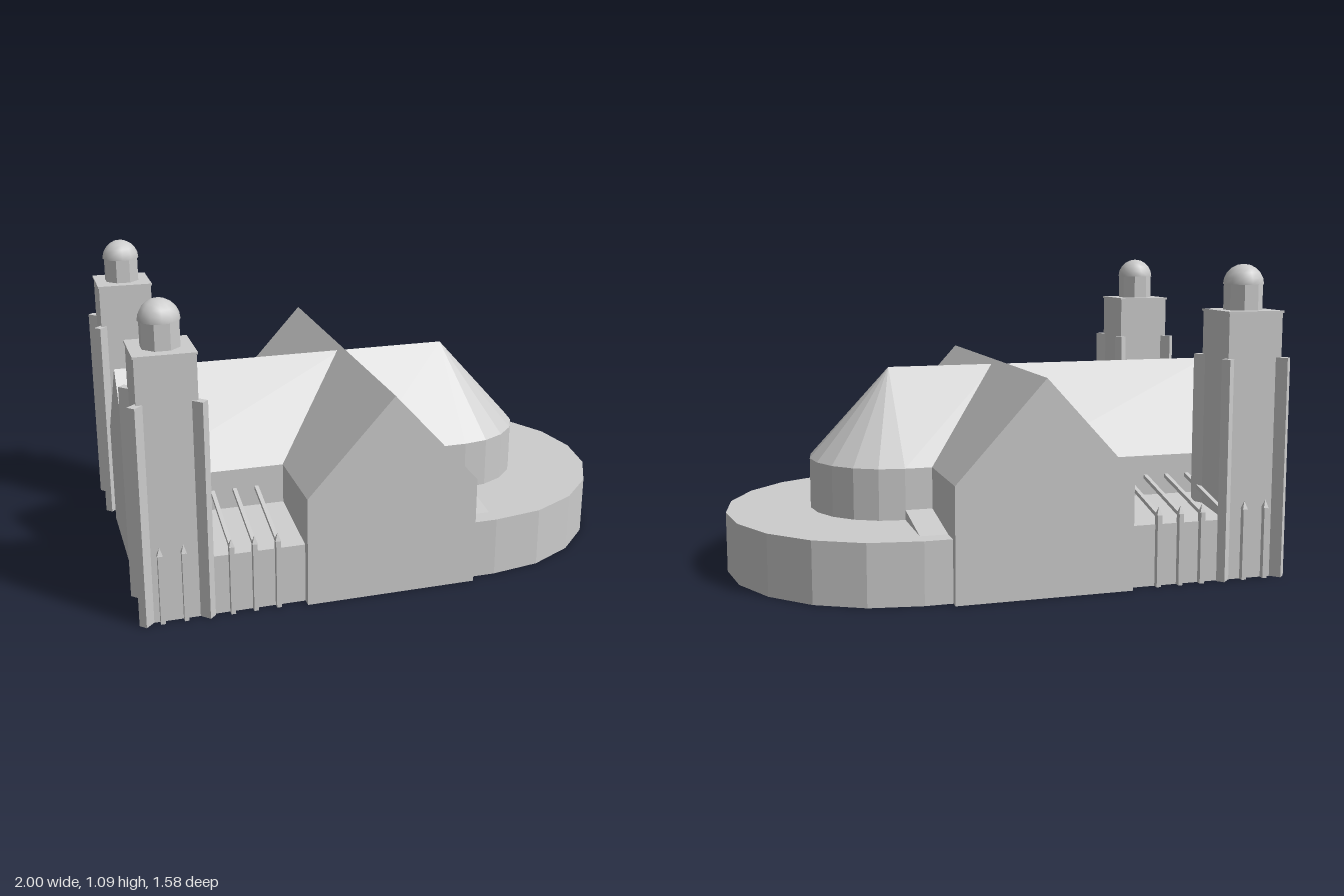
import * as THREE from 'three';

const stone = new THREE.MeshStandardMaterial({ color: 0xcccccc, side: THREE.DoubleSide });
stone.name = 'pale stone';

// Faceted surface through rows of points, each row of equal length
function skin(rows) {
  const pos = [];
  for (let i = 0; i < rows.length - 1; i++) {
    for (let j = 0; j < rows[i].length - 1; j++) {
      const a = rows[i][j], b = rows[i][j + 1], c = rows[i + 1][j + 1], d = rows[i + 1][j];
      pos.push(...a, ...b, ...c, ...a, ...c, ...d);
    }
  }
  const g = new THREE.BufferGeometry();
  g.setAttribute('position', new THREE.Float32BufferAttribute(pos, 3));
  g.computeVertexNormals();
  return g;
}

function add(parent, name, geometry, x = 0, y = 0, z = 0) {
  const m = new THREE.Mesh(geometry, stone);
  m.name = name;
  m.position.set(x, y, z);
  parent.add(m);
  return m;
}

const box = (w, h, d) => new THREE.BoxGeometry(w, h, d);

// Gabled hall along x, open underneath
function hall(x0, x1, half, eaves, ridge, closeEnd) {
  const profile = x => [[x, 0, half], [x, eaves, half], [x, ridge, 0], [x, eaves, -half], [x, 0, -half]];
  const foot = x => profile(x).map(() => [x, 0, 0]);
  const rows = [foot(x0), profile(x0), profile(x1)];
  if (closeEnd) rows.push(foot(x1));
  return skin(rows);
}

const APSE_X = 0.448, TRANSEPT_X = 0.045, HALF = 0.29, AISLE = 0.587;

// Straight sides ending in a half circle of ten facets
function apsePlan(startX, r, y) {
  const pts = [[startX, y, r]];
  for (let i = 0; i <= 10; i++) {
    const a = Math.PI / 2 - i * Math.PI / 10;
    pts.push([APSE_X + r * Math.cos(a), y, r * Math.sin(a)]);
  }
  pts.push([startX, y, -r]);
  return pts;
}

function makeTower() {
  const tower = new THREE.Group();
  tower.name = 'tower';
  add(tower, 'towerShaft', box(0.2, 0.925, 0.2), 0, 0.4625, 0);
  add(tower, 'towerCap', box(0.208, 0.008, 0.208), 0, 0.928, 0);
  // Diagonal corner buttresses
  for (const sx of [-1, 1]) for (const sz of [-1, 1]) {
    const b = add(tower, 'cornerButtress', box(0.05, 0.772, 0.03), sx * 0.101, 0.386, sz * 0.101);
    b.rotation.y = -sx * sz * Math.PI / 4;
  }
  // Octagonal lantern and dome
  const drum = new THREE.CylinderGeometry(0.067, 0.067, 0.095, 8).toNonIndexed();
  drum.computeVertexNormals();
  const lantern = add(tower, 'lantern', drum, 0, 0.975, 0);
  lantern.rotation.y = Math.PI / 8;
  add(tower, 'dome', new THREE.SphereGeometry(0.07, 12, 5, 0, Math.PI * 2, 0, Math.PI / 2), 0, 1.02, 0);
  return tower;
}

// One side of the nave: aisle, flying buttresses, tower
function makeSide() {
  const side = new THREE.Group();
  side.name = 'naveSide';
  const section = x => [[x, 0, AISLE], [x, 0.215, AISLE], [x, 0.25, HALF], [x, 0, HALF]];
  const foot = x => section(x).map(() => [x, 0, HALF]);
  add(side, 'aisle', skin([foot(-0.77), section(-0.77), section(-0.263)]));
  // Small sloping roof between transept and ambulatory
  const wedge = x => [[x, 0.214, 0.53], [x, 0.25, HALF], [x, 0.2, HALF]];
  const wedgeFoot = x => wedge(x).map(() => [x, 0.2, HALF]);
  add(side, 'choirAisleRoof', skin([wedge(0.353), wedge(APSE_X), wedgeFoot(APSE_X)]));

  for (let k = 0; k < 6; k++) {
    const x = -0.362 - k * 0.08;
    add(side, 'aislePier', box(0.016, 0.25, 0.024), x, 0.125, AISLE + 0.009);
    const tip = new THREE.ConeGeometry(0.014, 0.03, 4).toNonIndexed();
    tip.computeVertexNormals();
    add(side, 'pinnacle', tip, x, 0.263, AISLE + 0.009).rotation.y = Math.PI / 4;
    // Slanting strut from nave wall down to its pier
    const dz = AISLE - HALF, drop = 0.07;
    const strut = add(side, 'flyingButtress', box(0.014, 0.014, Math.hypot(dz, drop)), x, 0.283, HALF + dz / 2);
    strut.rotation.x = Math.atan2(drop, dz);
  }
  const tower = makeTower();
  tower.position.set(-0.711, 0, 0.488);
  side.add(tower);
  return side;
}

export function createModel() {
  const model = new THREE.Group();
  model.name = 'cathedral';
  const church = new THREE.Group();
  church.name = 'church';
  church.rotation.y = 0.3235;
  church.position.set(-0.02, 0, -0.06);
  model.add(church);

  add(church, 'nave', hall(-0.812, TRANSEPT_X, HALF, 0.395, 0.716, false));
  const transept = add(church, 'transept', hall(-0.62, 0.62, 0.308, 0.395, 0.732, true), TRANSEPT_X, 0, 0);
  transept.rotation.y = Math.PI / 2;

  // Choir with half-cone apse roof
  const eaves = apsePlan(TRANSEPT_X, HALF, 0.395);
  const ridge = eaves.map(p => [Math.min(p[0], APSE_X) === TRANSEPT_X ? TRANSEPT_X : APSE_X, 0.716, 0]);
  add(church, 'choirAndApse', skin([apsePlan(TRANSEPT_X, HALF, 0), eaves, ridge]));

  // Low ambulatory around the apse
  add(church, 'ambulatory', skin([
    apsePlan(0.353, 0.59, 0), apsePlan(0.353, 0.59, 0.215), apsePlan(0.353, HALF, 0.215),
  ]));

  // Matching north and south sides
  const south = makeSide();
  const north = makeSide();
  north.scale.z = -1;
  church.add(south, north);
  return model;
}
